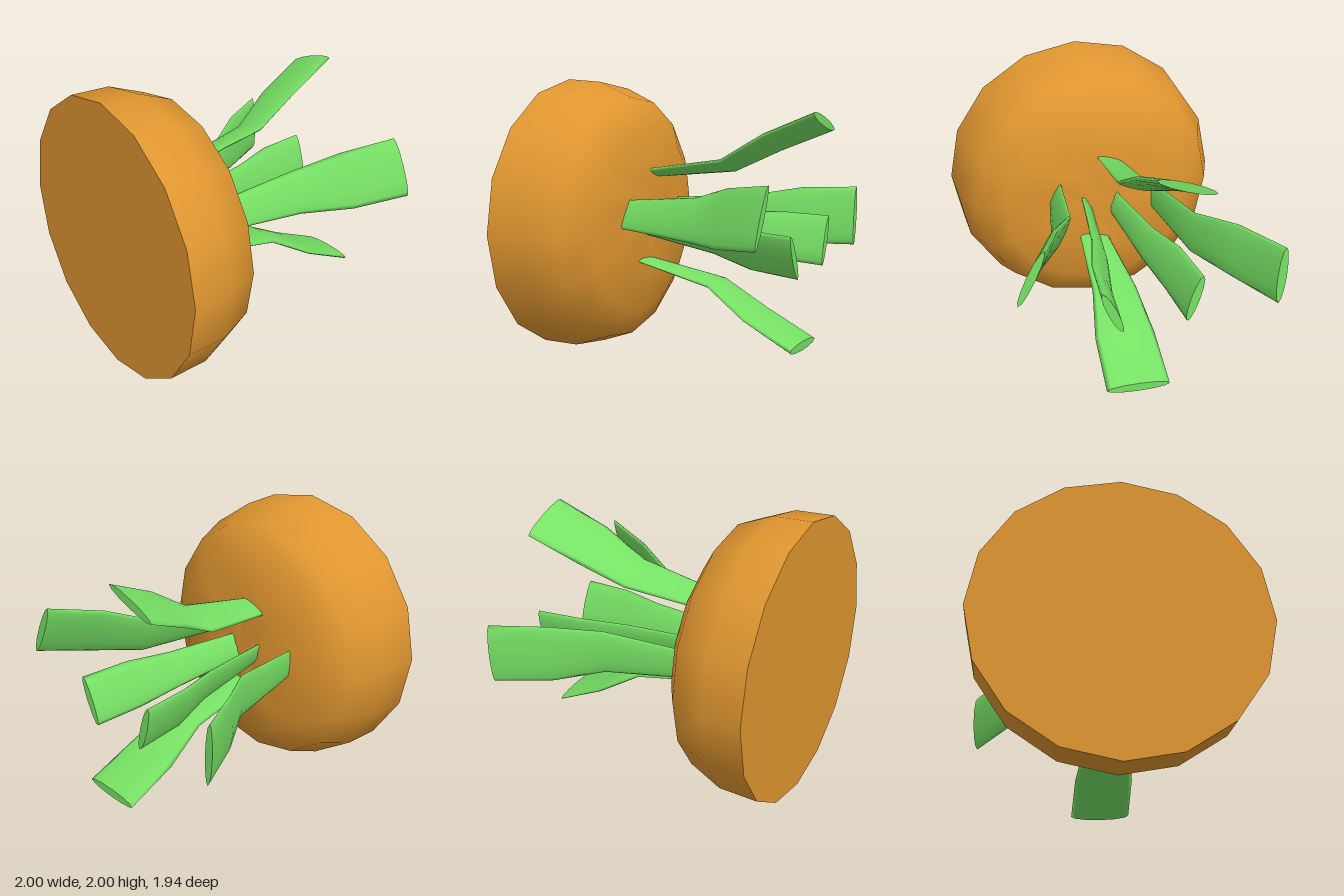
import * as THREE from 'three';
import { mergeVertices } from 'three/addons/utils/BufferGeometryUtils.js';

const SIDES = 16;
const orange = new THREE.MeshStandardMaterial({ color: 0xe09630 });
orange.name = 'orange flesh';
const green = new THREE.MeshStandardMaterial({ color: 0x76e064 });
green.name = 'stalk green';

// Rounded root top, turned about z, with a shallow star-shaped crown
function bodyGeometry() {
  const profile = [[1, -0.97], [0.99, -0.69], [0.89, -0.44], [0.69, -0.32], [0.38, -0.265], [0.2, -0.262], [0, -0.25]]
    .map(([r, y]) => new THREE.Vector2(r, y));
  let geo = new THREE.LatheGeometry(profile, SIDES);
  geo.deleteAttribute('normal');
  geo.deleteAttribute('uv');
  const pos = geo.attributes.position;
  const rows = profile.length;
  for (let i = 0; i < pos.count; i++) {
    const row = i % rows;
    const column = Math.floor(i / rows) % SIDES;
    if (row === 4 && column % 3 === 1) pos.setY(i, -0.29);
    if (row === 5 && column % 2 === 1) pos.setY(i, -0.285);
  }
  geo.rotateX(-Math.PI / 2);
  geo.translate(0, 1, 0);
  geo = mergeVertices(geo, 1e-4);
  geo.computeVertexNormals();
  return geo;
}

// Flat stalk swept towards the back; base and tip give both edges of the blade as [x1, y1, x2, y2]
function stalkGeometry(base, tip, bend) {
  const zs = [0.31, -0.3, -0.61, -0.97];
  const spread = [0, 0.48, 0.93, 1];
  const n = 12;
  const verts = [], index = [];
  const mid = (e) => [(e[0] + e[2]) / 2, (e[1] + e[3]) / 2];
  const half = (e) => [(e[2] - e[0]) / 2, (e[3] - e[1]) / 2];
  const mix = (a, b, t) => a.map((v, k) => v + (b[k] - v) * t);
  zs.forEach((z, i) => {
    const c = mix(mid(base), mid(tip), bend[i]);
    const h = mix(half(base), half(tip), spread[i]);
    const len = Math.hypot(h[0], h[1]);
    const thick = 0.021 + 0.011 * spread[i];
    for (let j = 0; j < n; j++) {
      const a = (j / n) * Math.PI * 2;
      const u = Math.cos(a);
      const v = Math.sin(a) * thick / len;
      verts.push(c[0] + h[0] * u + h[1] * v, c[1] + h[1] * u - h[0] * v, z);
    }
  });
  for (let i = 0; i < zs.length - 1; i++) {
    for (let j = 0; j < n; j++) {
      const a = i * n + j, b = i * n + (j + 1) % n;
      index.push(a, b, a + n, b, b + n, a + n);
    }
  }
  // Flat cut end with its own vertices, so the rim stays sharp
  const start = zs.length * n;
  verts.push(...verts.slice((zs.length - 1) * n * 3));
  for (let j = 1; j < n - 1; j++) index.push(start, start + j, start + j + 1);
  const geo = new THREE.BufferGeometry();
  geo.setAttribute('position', new THREE.Float32BufferAttribute(verts, 3));
  geo.setIndex(index);
  geo.computeVertexNormals();
  return geo;
}

export function createModel() {
  const group = new THREE.Group();
  group.name = 'cutRootTop';
  const add = (geo, mat, name) => {
    const mesh = new THREE.Mesh(geo, mat);
    mesh.name = name;
    group.add(mesh);
    return mesh;
  };

  add(bodyGeometry(), orange, 'rootBody');
  add(new THREE.CircleGeometry(1, SIDES), orange, 'cutFace').position.set(0, 1, 0.97);

  // Four outer stalks bend outwards, two inner ones run almost straight
  const bent = [0, 0.22, 0.63, 1];
  const straight = [0, 0.42, 0.83, 1];
  const stalks = [
    ['upperStalk', [-0.18, 1.3, 0.01, 1.37], [-0.43, 1.69, -0.03, 1.84], bent],
    ['leftStalk', [0.28, 1.19, 0.36, 1.0], [0.67, 1.46, 0.85, 1.08], bent],
    ['lowerStalk', [0.14, 0.72, -0.07, 0.7], [0.28, 0.27, -0.165, 0.245], bent],
    ['rightStalk', [-0.425, 1.1, -0.415, 0.89], [-0.935, 1.21, -0.915, 0.77], bent],
    ['innerLeftStalk', [0.12, 1.06, 0.04, 0.9], [0.31, 1.07, 0.17, 0.75], straight],
    ['innerRightStalk', [-0.14, 1.06, -0.09, 0.9], [-0.37, 1.09, -0.27, 0.75], straight],
  ];
  for (const [name, base, tip, bend] of stalks) add(stalkGeometry(base, tip, bend), green, name);
  return group;
}
